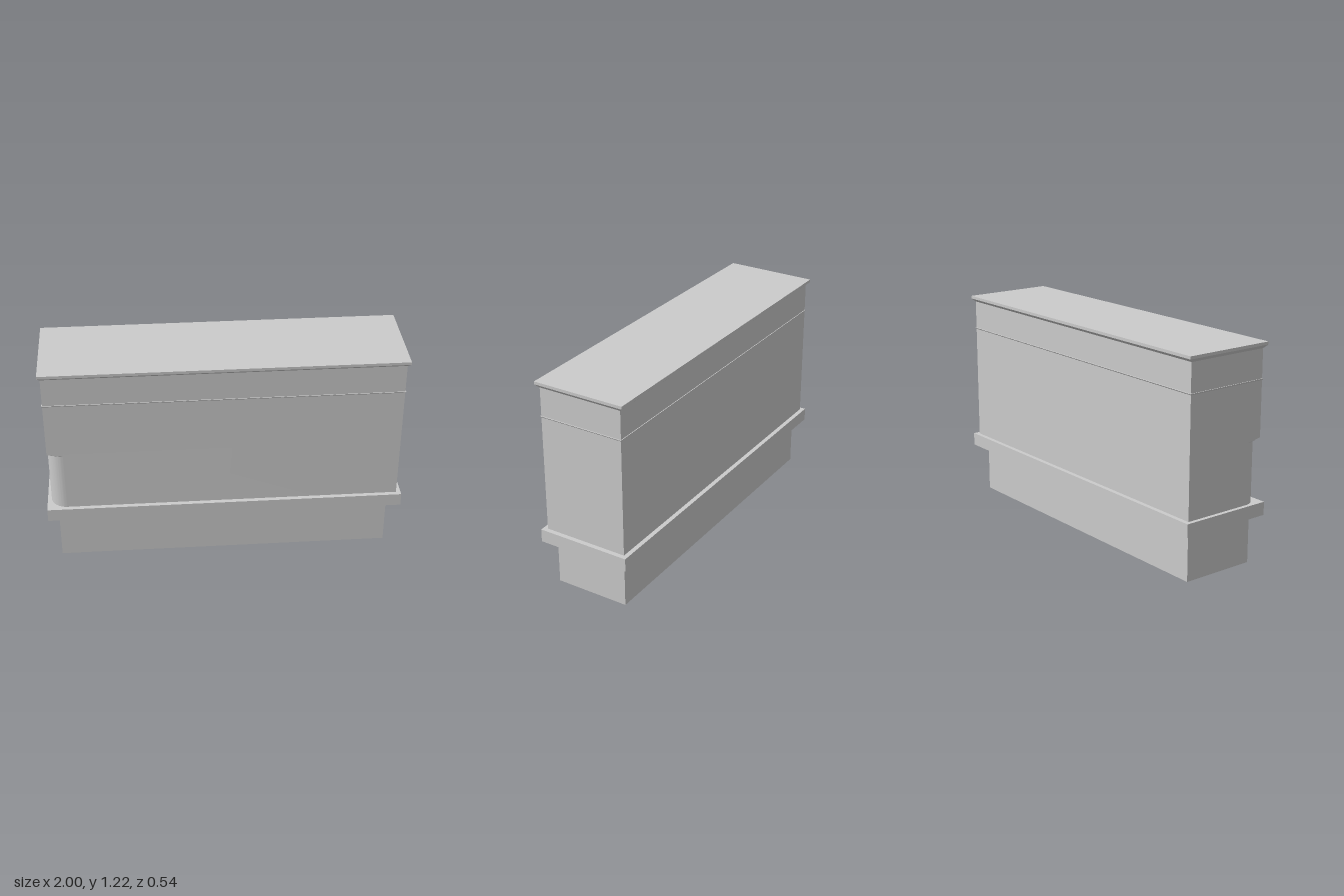
import * as THREE from 'three';
import { toCreasedNormals } from 'three/addons/utils/BufferGeometryUtils.js';
import { ConvexGeometry } from 'three/addons/geometries/ConvexGeometry.js';

const material = new THREE.MeshStandardMaterial({ color: 0xcccccc, side: THREE.DoubleSide });

// Footprints: [x min, x max, z min, z max]
const BODY = [-0.978, 0.974, -0.243, 0.245];
const BASE = [-0.94, 0.926, -0.21, 0.22];
const PLINTH = [-1, 1, -0.268, 0.27];
const CAP = [-0.993, 0.99, -0.263, 0.267];
const grow = ([a, b, c, d], e) => [a - e, b + e, c - e, d + e];

// Joins rectangular cross-sections [y, footprint] into a flat-shaded skin
function loft(sections, capTop = false) {
  const points = [], faces = [];
  for (const [y, [x0, x1, z0, z1]] of sections) points.push(x0, y, z1, x1, y, z1, x1, y, z0, x0, y, z0);
  for (let i = 0; i < sections.length - 1; i++) {
    for (let j = 0; j < 4; j++) {
      const a = i * 4 + j, b = i * 4 + (j + 1) % 4;
      faces.push(a, b, b + 4, a, b + 4, a + 4);
    }
  }
  if (capTop) {
    const t = (sections.length - 1) * 4;
    faces.push(t, t + 1, t + 2, t, t + 2, t + 3);
  }
  const indexed = new THREE.BufferGeometry();
  indexed.setAttribute('position', new THREE.Float32BufferAttribute(points, 3));
  indexed.setIndex(faces);
  const geometry = indexed.toNonIndexed();
  geometry.computeVertexNormals();
  return geometry;
}

export function createModel() {
  const group = new THREE.Group();
  const add = (name, geometry) => {
    const mesh = new THREE.Mesh(geometry, material);
    mesh.name = name;
    group.add(mesh);
  };
  const [x0, x1, z0, z1] = BODY;
  const radius = 0.09, ledgeLow = 0.69, ledgeHigh = 0.706;

  // Hollow base, open underneath
  add('base', loft([[0, BASE], [0.302, BASE]], true));

  // Projecting slab above the base
  add('plinth', loft([[0.276, BASE], [0.276, PLINTH], [0.35, PLINTH], [0.35, grow(BODY, -0.1)]]));

  // Lower body with one rounded front corner
  const outline = new THREE.Shape();
  outline.moveTo(x1, -z1);
  outline.lineTo(x1, -z0);
  outline.lineTo(x0, -z0);
  outline.lineTo(x0, -z1 + radius);
  outline.absarc(x0 + radius, -z1 + radius, radius, Math.PI, Math.PI * 1.5, false);
  outline.closePath();
  const lower = new THREE.ExtrudeGeometry(outline, {
    depth: ledgeHigh - 0.35, bevelEnabled: false, curveSegments: 12,
  });
  lower.rotateX(-Math.PI / 2).translate(0, 0.35, 0);
  add('lowerBody', toCreasedNormals(lower, 0.5));

  // Sloping underside where the square corner overhangs the rounded one
  const corner = [new THREE.Vector3(x0, ledgeHigh, z1)];
  for (let i = 0; i <= 12; i++) {
    const a = (i / 12) * Math.PI / 2;
    const x = x0 + radius - radius * Math.cos(a), z = z1 - radius + radius * Math.sin(a);
    corner.push(new THREE.Vector3(x, ledgeLow, z), new THREE.Vector3(x, ledgeHigh, z));
  }
  add('cornerOverhang', new ConvexGeometry(corner));

  // Square upper body
  add('upperBody', loft([[ledgeHigh, BODY], [1.185, BODY]]));

  // Thin bead around the body
  const bead = grow(BODY, 0.004);
  add('bead', loft([[1.014, BODY], [1.019, bead], [1.022, bead], [1.022, BODY]]));

  // Flared cornice and flat top
  add('cornice', loft([[1.182, BODY], [1.2, CAP], [1.216, CAP]], true));

  return group;
}
